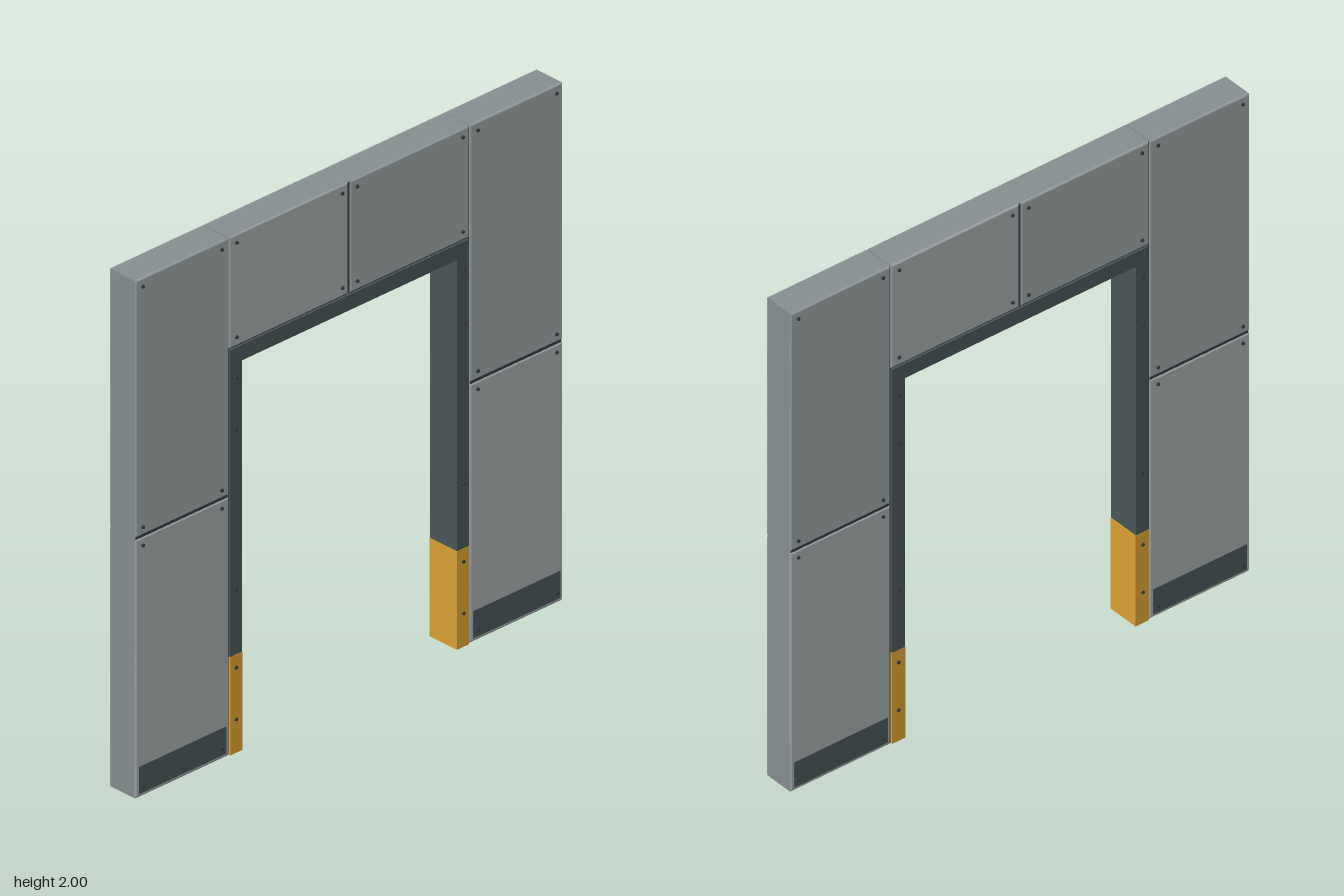
import * as THREE from 'three';

const mat = (color) => new THREE.MeshStandardMaterial({ color });

export function createModel() {
  const steel = mat(0x858d8f), light = mat(0xa2a8a9), grey = mat(0x99a1a1);
  const dark = mat(0x4a5558), seam = mat(0x363d40), yellow = mat(0xd9a033);
  const model = new THREE.Group();

  // Box given by its limits
  const box = (parent, name, m, x0, x1, y0, y1, z0, z1) => {
    const mesh = new THREE.Mesh(new THREE.BoxGeometry(x1 - x0, y1 - y0, z1 - z0), m);
    mesh.position.set((x0 + x1) / 2, (y0 + y1) / 2, (z0 + z1) / 2);
    mesh.name = name;
    parent.add(mesh);
  };

  // Thin cladding plate with a chamfered rim
  const plate = (parent, name, m, x0, x1, y0, y1) => {
    const b = 0.004;
    const s = new THREE.Shape();
    s.moveTo(x0 + b, y0 + b).lineTo(x1 - b, y0 + b).lineTo(x1 - b, y1 - b).lineTo(x0 + b, y1 - b).closePath();
    const geo = new THREE.ExtrudeGeometry(s, {
      depth: 0.004, bevelEnabled: true, bevelThickness: b, bevelSize: b, bevelSegments: 1,
    });
    const mesh = new THREE.Mesh(geo, m);
    mesh.position.z = 0.058;
    mesh.name = name;
    parent.add(mesh);
  };

  // Six-sided bolt head on the face
  const boltGeo = new THREE.CylinderGeometry(0.006, 0.0075, 0.008, 8).rotateX(Math.PI / 2);
  const bolt = (parent, x, y) => {
    const mesh = new THREE.Mesh(boltGeo, seam);
    mesh.position.set(x, y, 0.068);
    mesh.name = 'bolt';
    parent.add(mesh);
  };

  // Solid wall core, door frame and yellow guards
  for (const s of [-1, 1]) {
    const side = (name, m, a, b, y0, y1, z) =>
      box(model, name, m, Math.min(s * a, s * b), Math.max(s * a, s * b), y0, y1, -z, z);
    side('sideWall', steel, 0.567, 1, 0, 2, 0.06);
    side('doorJamb', dark, 0.504, 0.56, 0.38, 1.505, 0.066);
    side('jambGuard', yellow, 0.502, 0.56, 0, 0.38, 0.067);
    side('jambSeam', seam, 0.56, 0.567, 0, 1.995, 0.058);
  }
  box(model, 'headerWall', steel, -0.563, 0.563, 1.57, 2, -0.06, 0.06);
  box(model, 'doorLintel', dark, -0.56, 0.56, 1.505, 1.565, -0.066, 0.066);
  box(model, 'lintelSeam', seam, -0.56, 0.56, 1.565, 1.57, -0.058, 0.058);

  // One clad face, repeated on the back by a half turn
  for (const turn of [0, Math.PI]) {
    const face = new THREE.Group();
    face.name = turn ? 'backFace' : 'frontFace';
    face.rotation.y = turn;
    model.add(face);

    for (const s of [-1, 1]) {
      const x0 = s < 0 ? -1 : 0.567, x1 = s < 0 ? -0.567 : 1;
      plate(face, 'lowerPanel', light, x0, x1, 0.005, 0.998);
      plate(face, 'upperPanel', grey, x0, x1, 1.01, 2);
      box(face, 'panelSeam', seam, x0 + 0.003, x1 - 0.003, 0.995, 1.013, 0.058, 0.0612);
      box(face, 'kickPlate', dark, x0 + 0.012, x1 - 0.012, 0.015, 0.12, 0.06, 0.068);
      for (const x of [0.6, 0.97]) for (const y of [0.04, 0.97, 1.04, 1.97]) bolt(face, s * x, y);

      const h0 = s < 0 ? -0.561 : 0.005, h1 = s < 0 ? -0.005 : 0.561;
      plate(face, 'headerPanel', s < 0 ? light : grey, h0, h1, 1.572, 2);
      for (const x of [0.035, 0.53]) for (const y of [1.605, 1.97]) bolt(face, s * x, y);
      for (const y of [0.13, 0.33, 0.63, 1.25, 1.45]) bolt(face, s * 0.533, y);
    }
    box(face, 'headerSeam', seam, -0.008, 0.008, 1.572, 1.997, 0.058, 0.0612);
  }
  return model;
}
